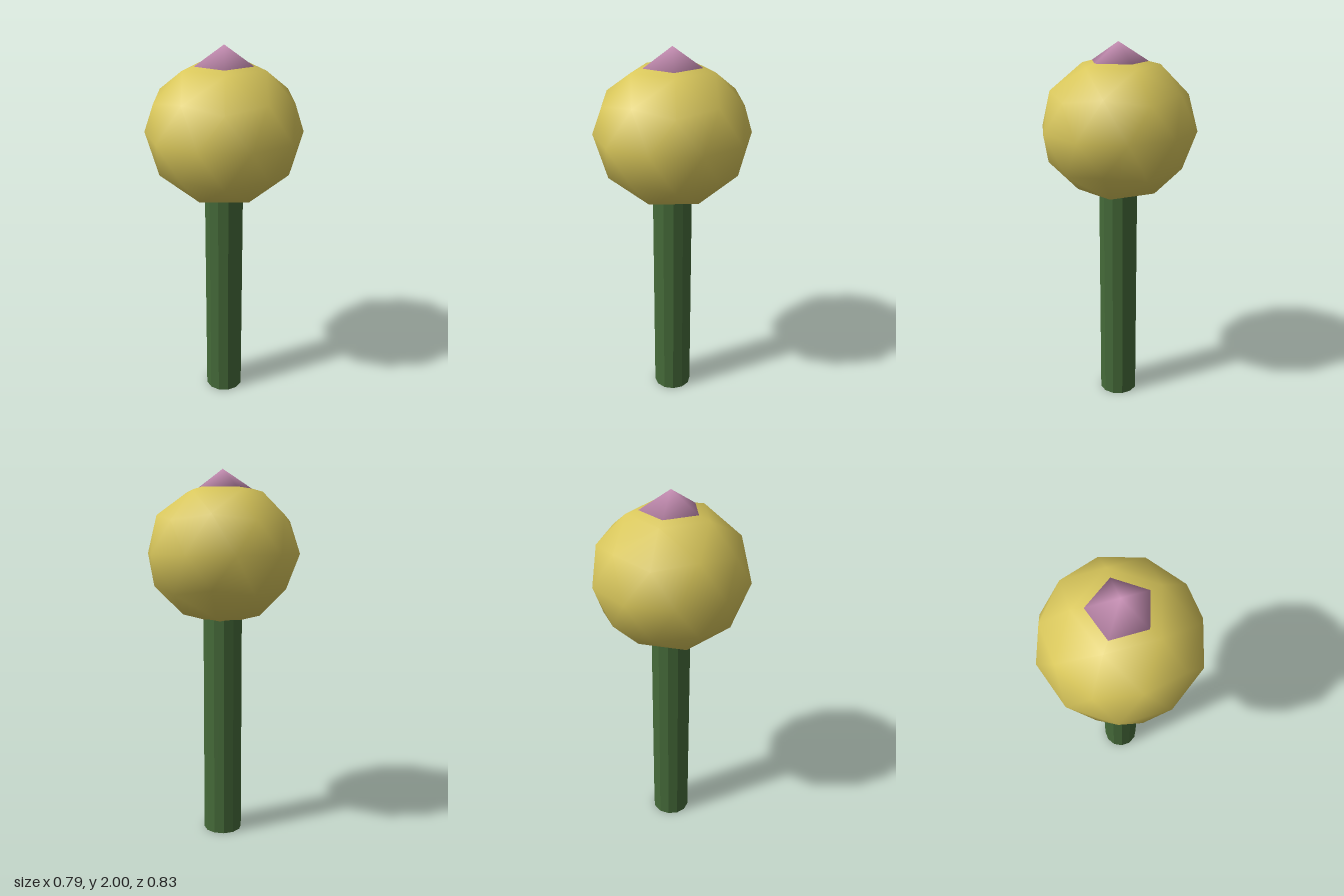
import * as THREE from 'three';
import { mergeVertices } from 'three/addons/utils/BufferGeometryUtils.js';

// Weld a geometry so its shading is smooth all over
function smooth(geometry) {
  geometry.deleteAttribute('normal');
  geometry.deleteAttribute('uv');
  const welded = mergeVertices(geometry, 1e-4);
  welded.computeVertexNormals();
  return welded;
}

function material(name, color, flatShading = false) {
  const m = new THREE.MeshStandardMaterial({ color, flatShading });
  m.name = name;
  return m;
}

export function createModel() {
  const group = new THREE.Group();
  const add = (name, geometry, mat, y) => {
    const mesh = new THREE.Mesh(geometry, mat);
    mesh.name = name;
    mesh.position.y = y;
    group.add(mesh);
  };

  // Twelve-sided stem, its top tucked into the head
  const stemHeight = 1.215;
  add('stem', new THREE.CylinderGeometry(0.105, 0.105, stemHeight, 12),
    material('green', 0x456a39, true), stemHeight / 2);

  // Slightly squashed icosphere, turned so one corner points straight up
  const head = new THREE.IcosahedronGeometry(1, 1);
  head.rotateZ(-Math.atan(2 / (1 + Math.sqrt(5))));
  head.scale(0.413, 0.382, 0.413);
  add('head', smooth(head), material('yellow', 0xd9c75b), 1.56);

  // Five-sided cap with one corner towards +x
  const cap = new THREE.ConeGeometry(0.158, 0.1, 5, 1, false, Math.PI / 2);
  add('cap', smooth(cap), material('pink', 0xcb92b8), 1.95);

  return group;
}
